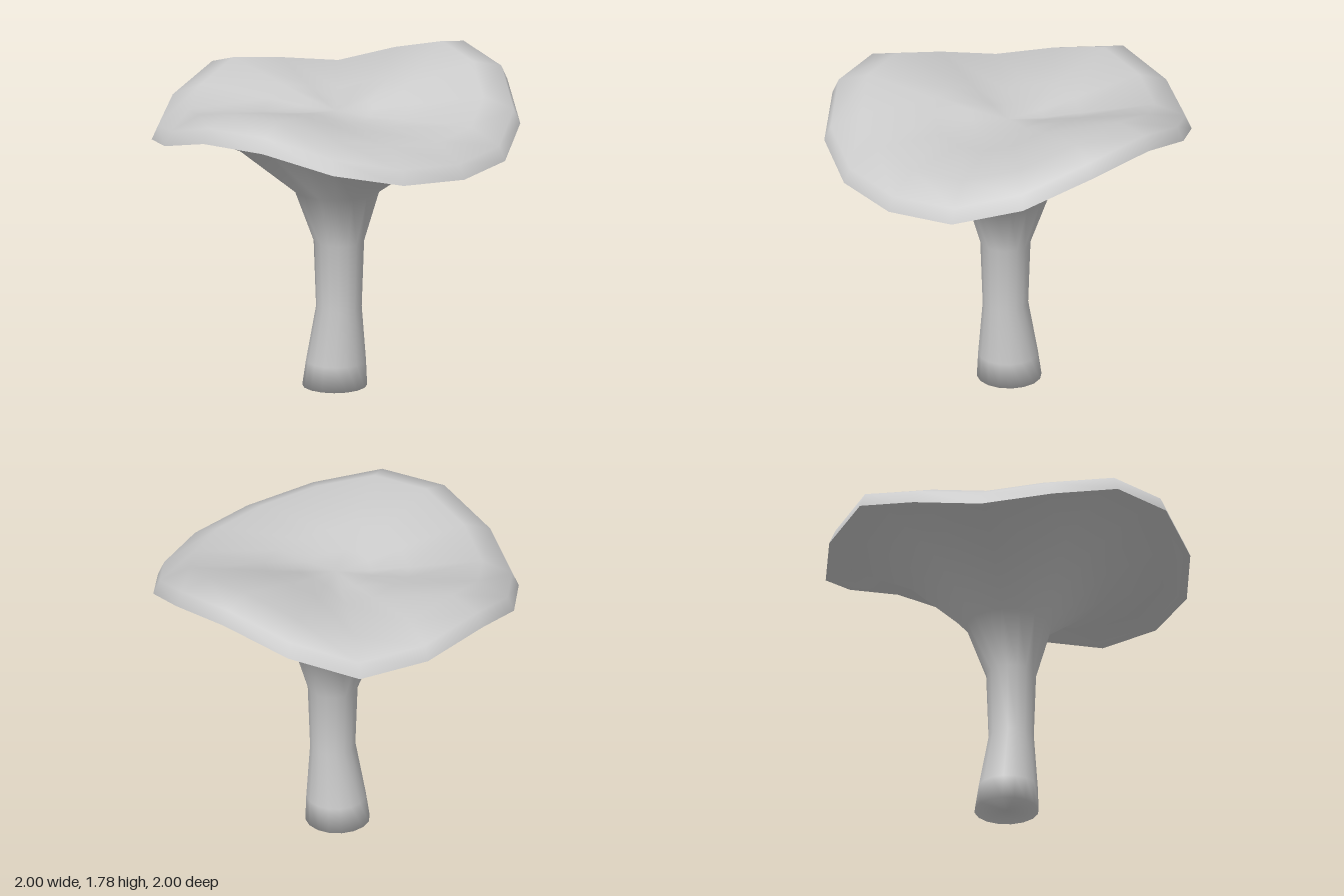
import * as THREE from 'three';
import { mergeVertices } from 'three/addons/utils/BufferGeometryUtils.js';

const SIDES = 16;
const TURN = -0.02;
// Height of the wavy rim, from the front round towards +x
const RIM = [1.555, 1.56, 1.46, 1.385, 1.36, 1.375, 1.48, 1.62,
  1.67, 1.565, 1.45, 1.49, 1.55, 1.45, 1.38, 1.45];

// Skin rings of { r, x, y(h) }, where h is the rim height at that angle
function loft(rings) {
  const pos = [], index = [];
  for (const { r, y, x = 0 } of rings) {
    for (let i = 0; i < SIDES; i++) {
      const a = (i / SIDES) * Math.PI * 2 + TURN;
      pos.push(x + r * Math.sin(a), y(RIM[i]), r * Math.cos(a));
    }
  }
  for (let k = 0; k < rings.length - 1; k++) {
    for (let i = 0; i < SIDES; i++) {
      const a = k * SIDES + i, b = k * SIDES + (i + 1) % SIDES;
      const c = b + SIDES, d = a + SIDES;
      if (rings[k].r > 0) index.push(a, b, d);
      if (rings[k + 1].r > 0) index.push(b, c, d);
    }
  }
  let geo = new THREE.BufferGeometry();
  geo.setAttribute('position', new THREE.Float32BufferAttribute(pos, 3));
  geo.setIndex(index);
  geo = mergeVertices(geo, 1e-5);
  geo.computeVertexNormals();
  return geo;
}

export function createModel() {
  const group = new THREE.Group();
  const material = new THREE.MeshStandardMaterial({ color: 0xcccccc });
  const add = (name, rings) => {
    const mesh = new THREE.Mesh(loft(rings), material);
    mesh.name = name;
    group.add(mesh);
  };

  // Ring whose height follows the rim by a given share
  const wavy = (r, base, share) => ({ r, y: h => base + share * (h - 1.5) });
  const level = (r, y, x) => ({ r, x, y: () => y });

  // Stem with closed foot, flaring out into the underside of the cap
  add('stem', [
    level(0, 0, -0.01),
    level(0.176, 0, -0.01),
    level(0.163, 0.14, 0),
    level(0.124, 0.45, 0.022),
    level(0.137, 0.82, 0.022),
    level(0.233, 1.105, 0.007),
    wavy(0.53, 1.394, 0.6),
    wavy(0.86, 1.545, 0.95),
    wavy(0.95, 1.505, 1),
    wavy(1, 1.5, 1),
  ]);

  // Cap: rim edge, soft crest and shallow hollow
  add('cap', [
    wavy(1, 1.5, 1),
    wavy(0.965, 1.58, 1),
    wavy(0.8, 1.645, 0.8),
    wavy(0.4, 1.588, 0.4),
    wavy(0.2, 1.558, 0.2),
    level(0, 1.545),
  ]);

  return group;
}
